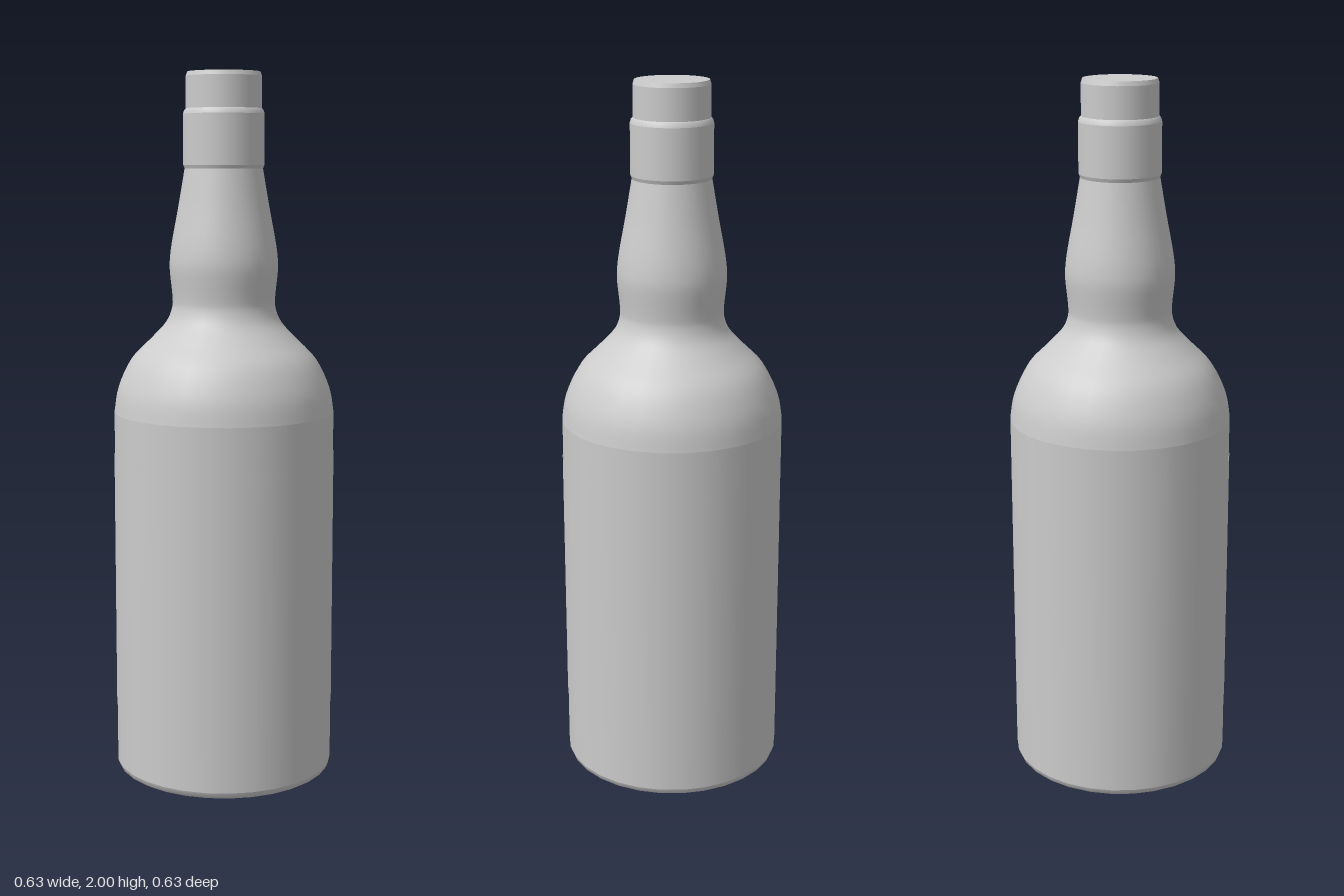
import * as THREE from 'three';

const SIDES = 30;
const material = new THREE.MeshStandardMaterial({ color: 0xcccccc });
const labelMaterial = new THREE.MeshStandardMaterial({ color: 0xcccccc, side: THREE.DoubleSide });

const toPoints = (pairs) => pairs.map(([r, y]) => new THREE.Vector2(r, y));

// Smooth surface of revolution, listed from bottom to top
function turned(name, points, mat = material, segments = SIDES, start = Math.PI / 2, length = Math.PI * 2) {
  const mesh = new THREE.Mesh(new THREE.LatheGeometry(points, segments, start, length), mat);
  mesh.name = name;
  return mesh;
}

export function createModel() {
  const bottle = new THREE.Group();
  bottle.name = 'bottle';

  // Flat base with a small rounded rim
  bottle.add(turned('base', toPoints([[0, 0], [0.3, 0]])));
  bottle.add(turned('baseRim', toPoints([[0.3, 0], [0.309, 0.006], [0.314, 0.02]])));

  // Straight body
  bottle.add(turned('body', toPoints([[0.314, 0.02], [0.314, 1.05]])));

  // Shoulder curving in to the waist, then the bulging neck
  const shoulder = new THREE.SplineCurve(toPoints([
    [0.314, 1.05], [0.301, 1.12], [0.263, 1.2], [0.205, 1.26], [0.164, 1.305],
    [0.147, 1.345], [0.146, 1.38], [0.153, 1.45], [0.152, 1.49], [0.145, 1.54],
    [0.128, 1.63], [0.11, 1.735],
  ]));
  bottle.add(turned('shoulderAndNeck', shoulder.getPoints(44)));

  // Raised collar with narrow steps above and below
  bottle.add(turned('collarLowerStep', toPoints([[0.11, 1.735], [0.114, 1.745]])));
  bottle.add(turned('collar', toPoints([[0.114, 1.745], [0.114, 1.885]])));
  bottle.add(turned('collarUpperStep', toPoints([[0.114, 1.885], [0.111, 1.895], [0.106, 1.9]])));

  // Closed cap
  bottle.add(turned('cap', toPoints([[0.106, 1.9], [0.106, 1.988]])));
  bottle.add(turned('capRim', toPoints([[0.106, 1.988], [0.102, 2]])));
  bottle.add(turned('capTop', toPoints([[0.102, 2], [0, 2]])));

  // Thin blank label wrapped around the front half
  bottle.add(turned('label', toPoints([[0.3155, 0.19], [0.3155, 0.935]]),
    labelMaterial, SIDES / 2, -Math.PI / 2, Math.PI));

  return bottle;
}
